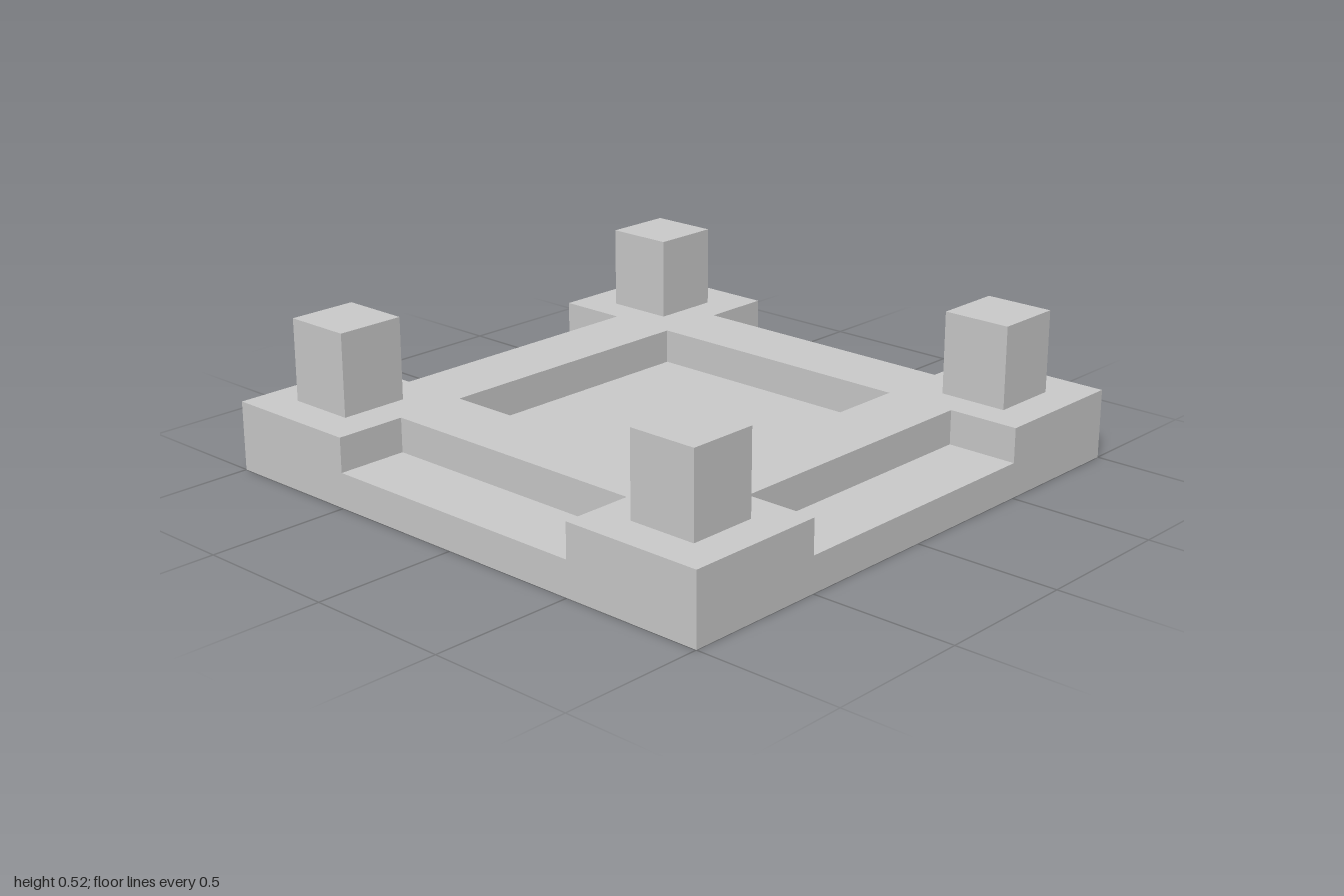
import * as THREE from 'three';

const FLOOR = 0.12, TOP = 0.238, POST_TOP = 0.52, POST = 0.242;

export function createModel() {
  const group = new THREE.Group();
  const material = new THREE.MeshStandardMaterial({ color: 0xcccccc, flatShading: true });

  const add = (name, geometry, x = 0, y = 0, z = 0) => {
    const mesh = new THREE.Mesh(geometry, material);
    mesh.name = name;
    mesh.position.set(x, y, z);
    group.add(mesh);
  };

  // Solid lower slab, whose top is the floor of every recess
  add('baseSlab', new THREE.BoxGeometry(2, FLOOR, 2), 0, FLOOR / 2, 0);

  // Raised rim: a square with a notch in each side and a square hole
  const outline = [];
  const center = new THREE.Vector2();
  for (let i = 0; i < 4; i++) {
    for (const [x, y] of [[-1, -1], [-0.5, -1], [-0.5, -0.75], [0.5, -0.75], [0.5, -1]]) {
      outline.push(new THREE.Vector2(x, y).rotateAround(center, i * Math.PI / 2));
    }
  }
  const rim = new THREE.Shape(outline);
  rim.holes.push(new THREE.Path([[-0.5, -0.5], [-0.5, 0.5], [0.5, 0.5], [0.5, -0.5]]
    .map(([x, y]) => new THREE.Vector2(x, y))));
  const rimGeometry = new THREE.ExtrudeGeometry(rim, { depth: TOP - FLOOR, bevelEnabled: false });
  rimGeometry.rotateX(-Math.PI / 2);
  add('raisedRim', rimGeometry, 0, FLOOR, 0);

  // Corner posts, slightly off the exact corners
  const height = POST_TOP - TOP;
  const posts = {
    frontRightPost: [-0.751, 0.753],
    frontLeftPost: [0.735, 0.753],
    backRightPost: [-0.751, -0.751],
    backLeftPost: [0.735, -0.745],
  };
  for (const [name, [x, z]] of Object.entries(posts)) {
    add(name, new THREE.BoxGeometry(POST, height, POST), x, TOP + height / 2, z);
  }

  return group;
}
